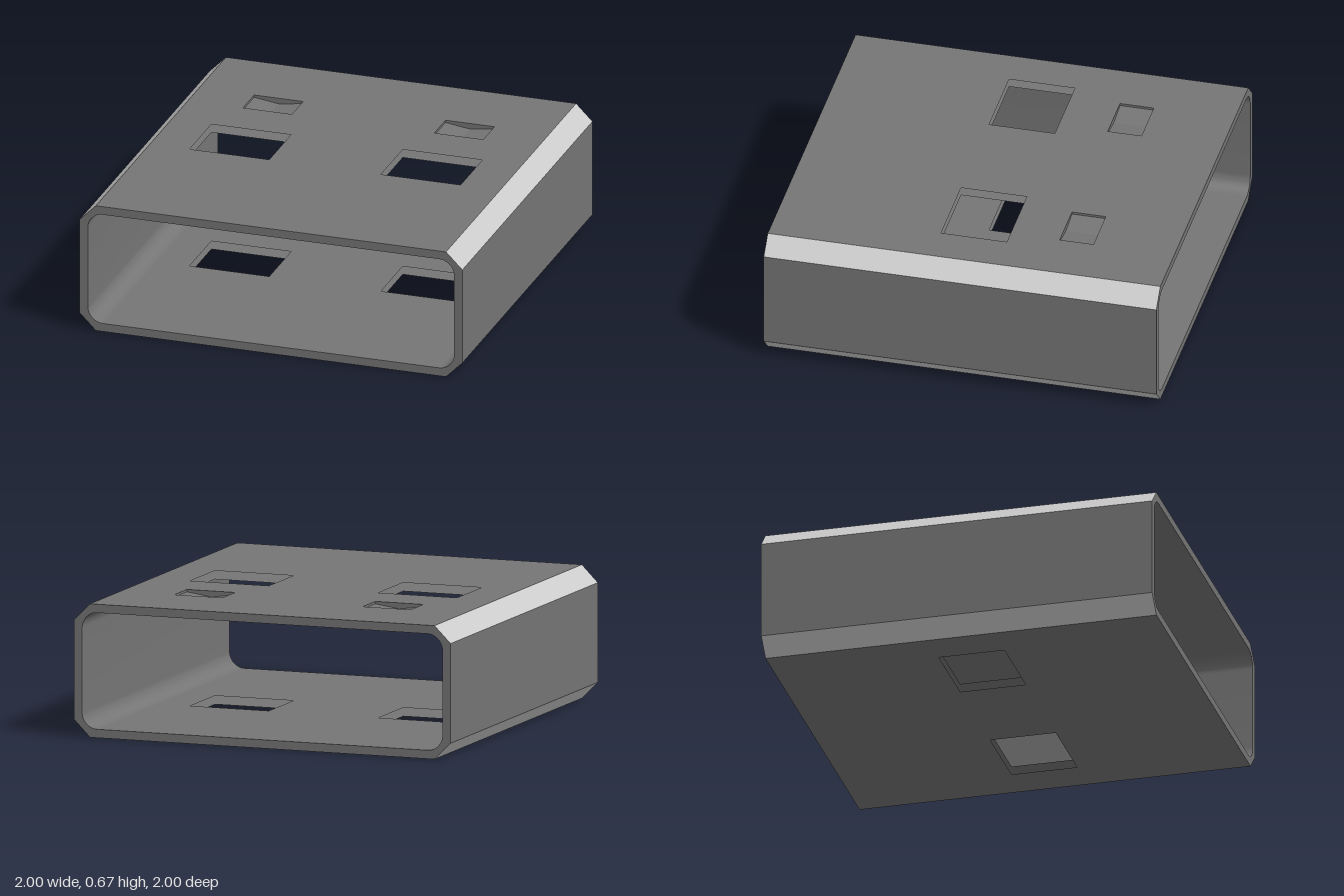
import * as THREE from 'three';
import { mergeGeometries, toCreasedNormals } from 'three/addons/utils/BufferGeometryUtils.js';

const H = 0.67, T = 0.043, CH = 0.085, R = 0.08;
const WINDOW = { x: 0.5, z: 0, w: 0.416, d: 0.335 };
const NOTCH = { x: 0.5, z: -0.503, w: 0.256, d: 0.172 };

const polygon = (pts) => new THREE.Shape(pts.map(([x, y]) => new THREE.Vector2(x, y)));

const rect = (cx, cy, w, h) => polygon([
  [cx - w / 2, cy - h / 2], [cx + w / 2, cy - h / 2],
  [cx + w / 2, cy + h / 2], [cx - w / 2, cy + h / 2],
]);

// Face tests on a normal and a corner
const isLevel = (n) => Math.abs(n.y) > 0.9999;
const isChamfer = (n, p) => !isLevel(n) && Math.abs(n.y) > 0.5 && n.x * p.x > 0;

// Keep positions only, for the triangles that pass the test
function triangles(geometry, keep = () => true, flip = false) {
  const p = (geometry.index ? geometry.toNonIndexed() : geometry).attributes.position;
  const out = [];
  const t = new THREE.Triangle();
  const n = new THREE.Vector3();
  for (let i = 0; i < p.count; i += 3) {
    t.setFromAttributeAndIndices(p, i, i + 1, i + 2);
    t.getNormal(n);
    if (!keep(n, t.a)) continue;
    for (const v of flip ? [t.a, t.c, t.b] : [t.a, t.b, t.c]) out.push(v.x, v.y, v.z);
  }
  const g = new THREE.BufferGeometry();
  g.setAttribute('position', new THREE.Float32BufferAttribute(out, 3));
  return g;
}

// Chamfered outside, rounded inside
function sleeve() {
  const a = 1 - CH;
  const section = polygon([
    [-a, 0], [a, 0], [1, CH], [1, H - CH], [a, H], [-a, H], [-1, H - CH], [-1, CH],
  ]);
  const x = 1 - T, y0 = T, y1 = H - T;
  const bore = new THREE.Path();
  bore.moveTo(-x + R, y0);
  bore.lineTo(x - R, y0);
  bore.absarc(x - R, y0 + R, R, -Math.PI / 2, 0);
  bore.lineTo(x, y1 - R);
  bore.absarc(x - R, y1 - R, R, 0, Math.PI / 2);
  bore.lineTo(-x + R, y1);
  bore.absarc(-x + R, y1 - R, R, Math.PI / 2, Math.PI);
  bore.lineTo(-x, y0 + R);
  bore.absarc(-x + R, y0 + R, R, Math.PI, Math.PI * 1.5);
  section.holes.push(bore);
  const g = new THREE.ExtrudeGeometry(section, { depth: 2, bevelEnabled: false, curveSegments: 8 });
  return g.translate(0, 0, -1);
}

// Level sheet facing up or down, pierced by mirrored pairs of openings
function sheet(halfWidth, y, up, openings) {
  const shape = rect(0, 0, halfWidth * 2, 2);
  for (const o of openings) {
    for (const s of [-1, 1]) shape.holes.push(rect(s * o.x, up ? -o.z : o.z, o.w, o.d));
  }
  const g = new THREE.ShapeGeometry(shape);
  g.rotateX(up ? -Math.PI / 2 : Math.PI / 2);
  g.translate(0, y, 0);
  return triangles(g);
}

// Shallow notch with a V-shaped floor, open at the top
function notch(side) {
  const x = side * NOTCH.x, h = NOTCH.w / 2;
  const outline = polygon([
    [x - h, H], [x - h, H - 0.012], [x, H - 0.03], [x + h, H - 0.012], [x + h, H],
  ]);
  const g = new THREE.ExtrudeGeometry(outline, { depth: NOTCH.d, bevelEnabled: false });
  g.translate(0, 0, NOTCH.z - NOTCH.d / 2);
  return triangles(g, (n) => !isLevel(n), true);
}

function addPart(group, name, parts, color) {
  const mesh = new THREE.Mesh(
    toCreasedNormals(mergeGeometries(parts), 0.25),
    new THREE.MeshStandardMaterial({ color, side: THREE.DoubleSide }),
  );
  mesh.name = name;
  group.add(mesh);
}

export function createModel() {
  const model = new THREE.Group();
  model.name = 'connectorSleeve';
  const outer = 1 - CH, inner = 1 - T - R;
  const body = sleeve();

  // Thin double-skinned shell: the windows pierce both skins and leave the gap open
  addPart(model, 'shell', [
    triangles(body, (n, p) => !isLevel(n) && !isChamfer(n, p)),
    sheet(outer, H, true, [WINDOW, NOTCH]),
    sheet(inner, H - T, false, [WINDOW]),
    sheet(inner, T, true, [WINDOW]),
    sheet(outer, 0, false, [WINDOW]),
    notch(-1),
    notch(1),
  ], 0x757575);

  // Lighter bevels along the four long edges
  addPart(model, 'edgeChamfers', [triangles(body, isChamfer)], 0xcccccc);

  return model;
}
